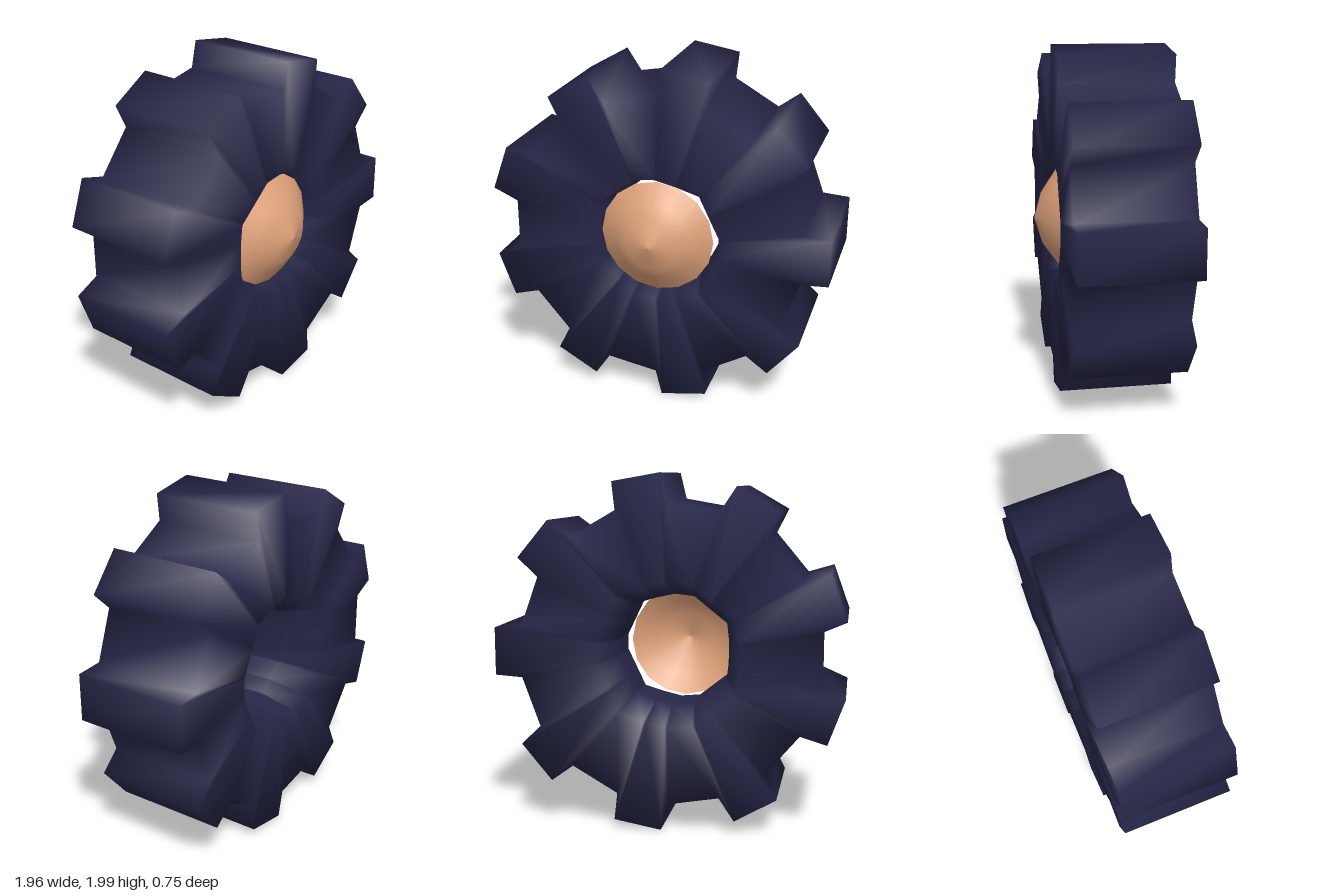
import * as THREE from 'three';

const TEETH = 9, BORE_SIDES = 7, FRONT = 0.275, BACK = -0.375;

// Outline of the toothed tread, four corners per tooth, counter-clockwise
function treadOutline() {
  const corners = [[0.83, -0.145], [0.985, -0.135], [0.985, 0.135], [0.83, 0.145]];
  const points = [];
  for (let t = 0; t < TEETH; t++) {
    const angle = (t / TEETH) * Math.PI * 2;
    for (const [x, y] of corners) {
      points.push(new THREE.Vector2(x, y).rotateAround(new THREE.Vector2(), angle));
    }
  }
  return points;
}

// Ring following a coarse polygon, sampled at the same angles as the tread
function boreRing(outline, radius) {
  const step = (Math.PI * 2) / BORE_SIDES;
  return outline.map((p) => {
    const angle = p.angle();
    const r = (radius * Math.cos(step / 2)) / Math.cos((angle % step) - step / 2);
    return new THREE.Vector2(Math.cos(angle) * r, Math.sin(angle) * r);
  });
}

// Closed skin over the cross-section rings, with shared smooth normals
function tyreGeometry() {
  const outline = treadOutline();
  const rings = [
    [boreRing(outline, 0.4), FRONT],
    [outline, FRONT],
    [outline, BACK],
    [boreRing(outline, 0.44), BACK],
    [boreRing(outline, 0.345), -0.14],
    [boreRing(outline, 0.345), 0.1],
  ];
  const n = outline.length;
  const positions = [], index = [];
  for (const [ring, z] of rings) for (const p of ring) positions.push(p.x, p.y, z);
  for (let k = 0; k < rings.length; k++) {
    const a = k * n, b = ((k + 1) % rings.length) * n;
    for (let i = 0; i < n; i++) {
      const j = (i + 1) % n;
      index.push(a + i, b + i, b + j, a + i, b + j, a + j);
    }
  }
  const geometry = new THREE.BufferGeometry();
  geometry.setAttribute('position', new THREE.Float32BufferAttribute(positions, 3));
  geometry.setIndex(index);
  geometry.computeVertexNormals();
  return geometry;
}

export function createModel() {
  const rubber = new THREE.MeshStandardMaterial({ color: 0x262648 });
  rubber.name = 'navy rubber';
  const copper = new THREE.MeshStandardMaterial({ color: 0xdea179, side: THREE.DoubleSide });
  copper.name = 'copper';

  const model = new THREE.Group();
  model.name = 'wheel';

  // Chunky tyre with nine lugs
  const tyre = new THREE.Mesh(tyreGeometry(), rubber);
  tyre.name = 'tyre';
  tyre.position.y = 1;
  model.add(tyre);

  // Open domed hub cap
  const profile = [[0.33, 0.2], [0.225, 0.275], [0.15, 0.328], [0, 0.375]]
    .map(([r, z]) => new THREE.Vector2(r, z));
  const hub = new THREE.Mesh(new THREE.LatheGeometry(profile, 16).rotateX(Math.PI / 2), copper);
  hub.name = 'hubCap';
  hub.position.set(-0.01, 1, 0);
  model.add(hub);

  return model;
}
